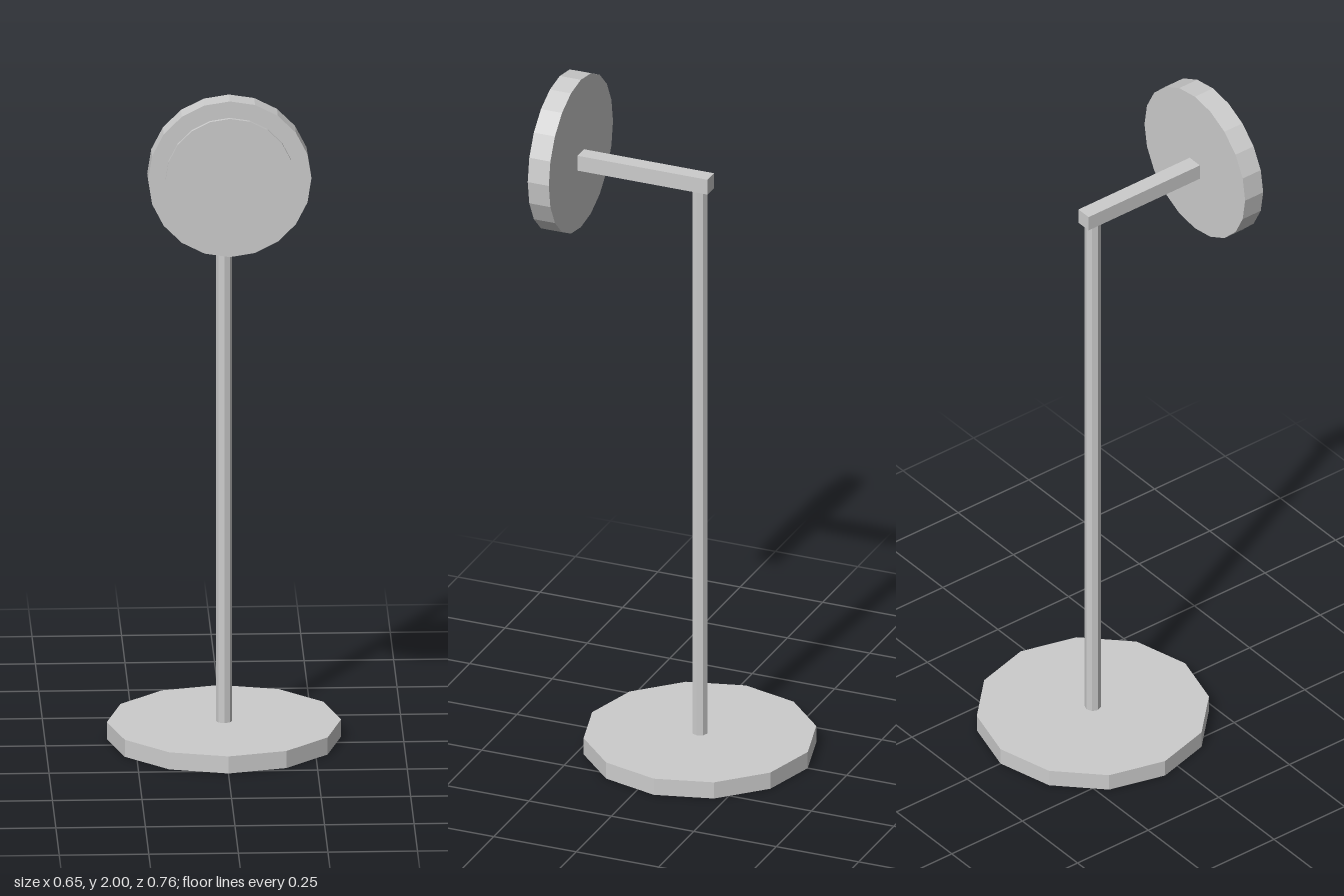
import * as THREE from 'three';

export function createModel() {
  const lamp = new THREE.Group();
  lamp.name = 'floorLamp';
  const grey = new THREE.MeshStandardMaterial({ color: 0xcccccc, flatShading: true });
  grey.name = 'lightGrey';

  const poleZ = -0.055;
  const headY = 1.772;

  function add(name, geometry, x, y, z) {
    const mesh = new THREE.Mesh(geometry, grey);
    mesh.name = name;
    mesh.position.set(x, y, z);
    lamp.add(mesh);
    return mesh;
  }

  // Disc standing upright, its flat side facing the front
  function addDisc(name, radius, back, front) {
    const geometry = new THREE.CylinderGeometry(radius, radius, front - back, 20);
    geometry.rotateX(Math.PI / 2);
    return add(name, geometry, 0, headY, (back + front) / 2);
  }

  // Foot and upright
  add('base', new THREE.CylinderGeometry(0.327, 0.327, 0.05, 12), 0, 0.025, poleZ);
  add('pole', new THREE.CylinderGeometry(0.023, 0.023, 1.68, 8), 0, 0.89, poleZ);

  // Arm reaching forward to the lamp head
  add('arm', new THREE.BoxGeometry(0.046, 0.046, 0.394), 0, 1.752, 0.109);

  // Lamp head with a slightly raised light panel
  addDisc('lampHead', 0.228, 0.306, 0.37);
  addDisc('lightPanel', 0.18, 0.36, 0.38);

  return lamp;
}
